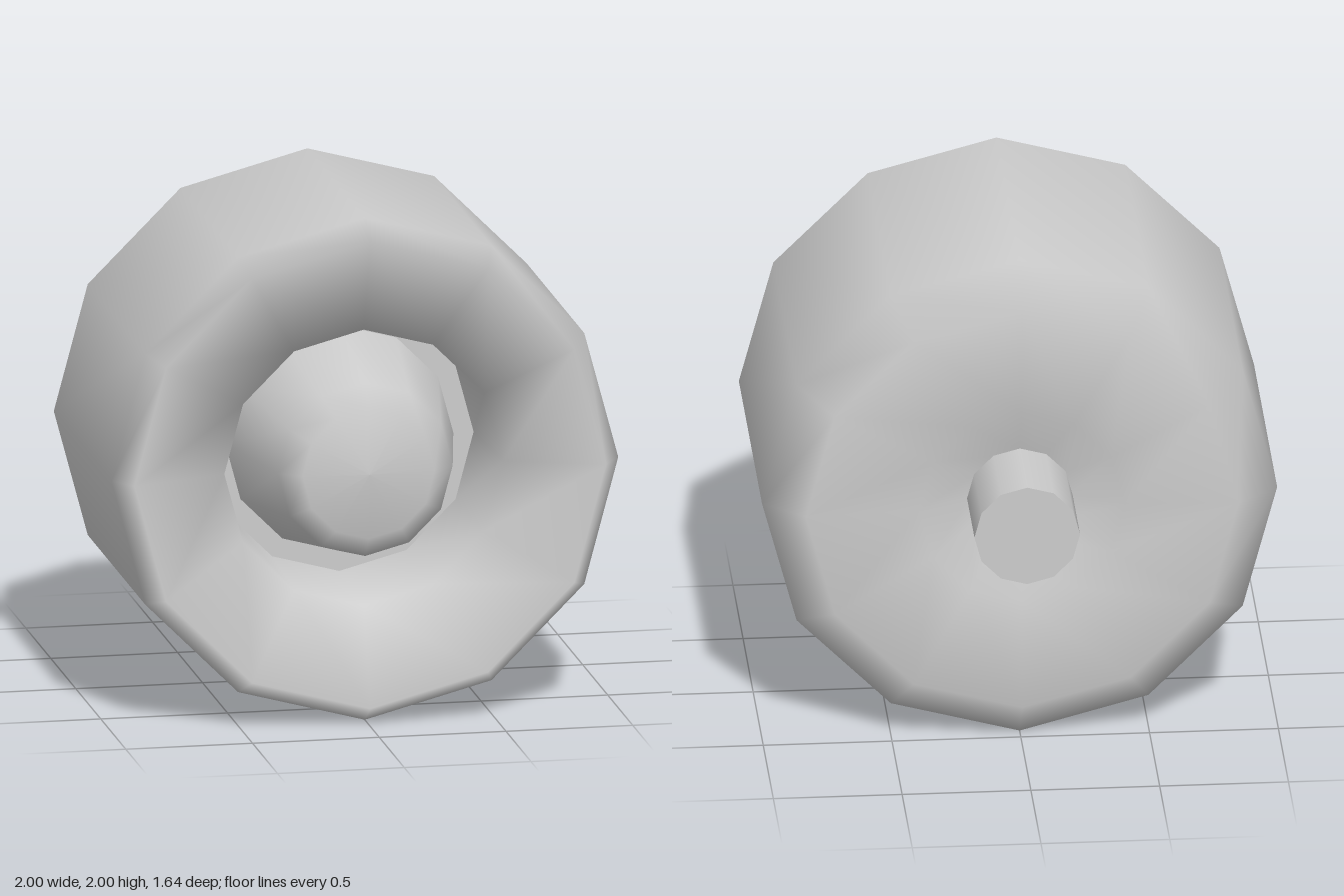
import * as THREE from 'three';

const SIDES = 12;
const grey = new THREE.MeshStandardMaterial({ color: 0xcccccc });

// Turns a [radius, z] profile around the z axis, at height y = 1
function turned(name, profile) {
  const geo = new THREE.LatheGeometry(profile.map(([r, z]) => new THREE.Vector2(r, z)), SIDES);
  geo.rotateX(Math.PI / 2);
  geo.translate(0, 1, 0);
  const mesh = new THREE.Mesh(geo, grey);
  mesh.name = name;
  return mesh;
}

export function createModel() {
  const group = new THREE.Group();
  group.name = 'roller';

  // Thick barrel: back recess, outer wall, front rim and throat
  group.add(turned('barrel', [
    [0, -0.44], [0.2, -0.45], [0.4, -0.55], [0.84, -0.575], [1, -0.44],
    [1, 0.71], [0.93, 0.82], [0.55, 0.69], [0.53, 0.2],
  ]));

  // Flat floor of the throat
  group.add(turned('throatFloor', [[0.53, 0.2], [0.45, 0.2]]));

  // Tapered hub with a domed end
  group.add(turned('hub', [[0.45, 0.2], [0.345, 0.72], [0.26, 0.79], [0, 0.81]]));

  // Rear axle stub
  const axle = new THREE.Mesh(new THREE.CylinderGeometry(0.205, 0.205, 0.42, SIDES), grey);
  axle.name = 'axle';
  axle.rotation.x = Math.PI / 2;
  axle.position.set(0, 1, -0.61);
  group.add(axle);

  return group;
}
